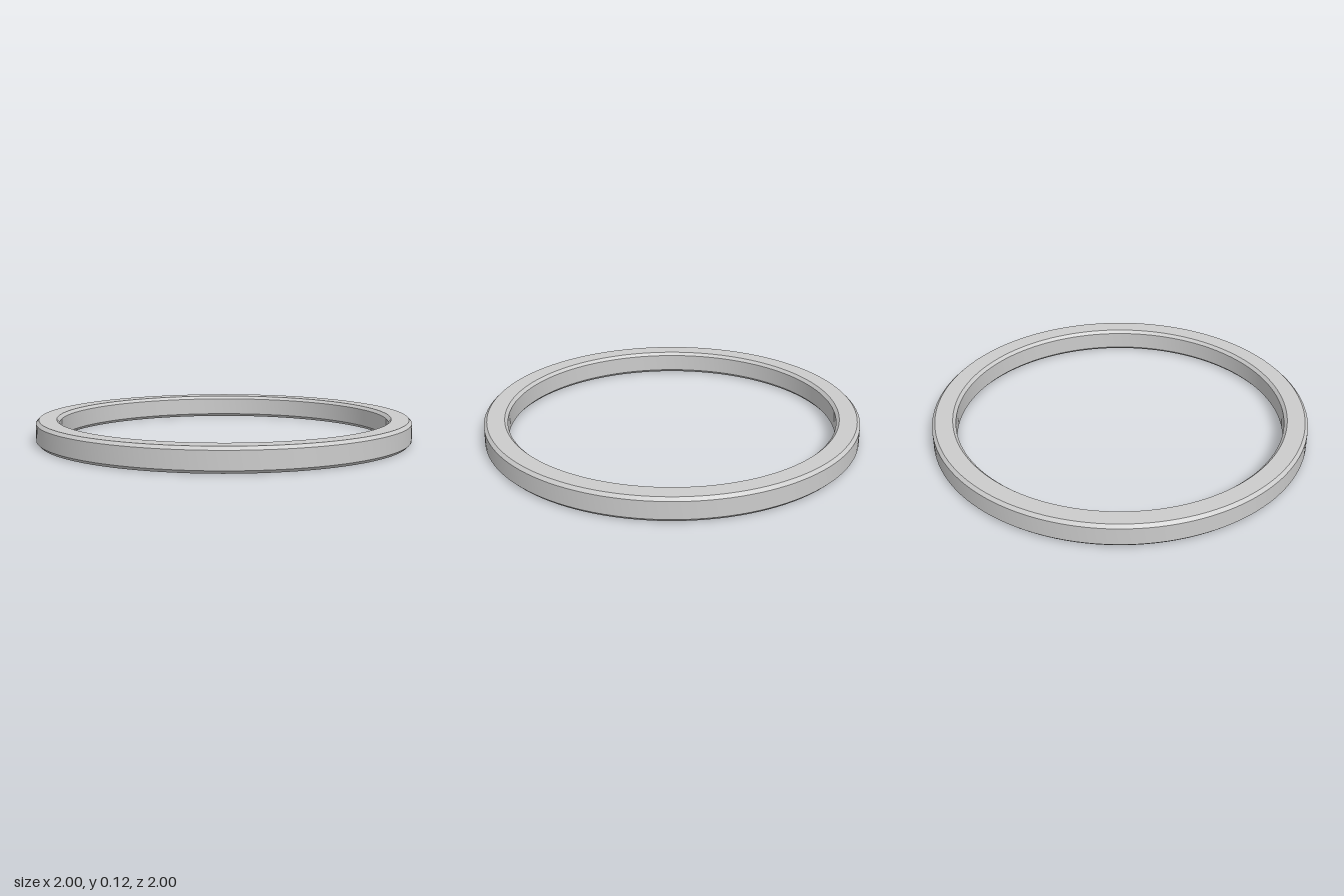
import * as THREE from 'three';
import { toCreasedNormals } from 'three/addons/utils/BufferGeometryUtils.js';

const OUTER = 1, INNER = 0.875, HEIGHT = 0.125, BEVEL = 0.016;

export function createModel() {
  const group = new THREE.Group();
  group.name = 'bevelledRing';

  // Rectangular cross-section with chamfered corners, counter-clockwise from the outer wall
  const profile = [
    [OUTER, BEVEL],
    [OUTER, HEIGHT - BEVEL],
    [OUTER - BEVEL, HEIGHT],
    [INNER + BEVEL, HEIGHT],
    [INNER, HEIGHT - BEVEL],
    [INNER, BEVEL],
    [INNER + BEVEL, 0],
    [OUTER - BEVEL, 0],
    [OUTER, BEVEL],
  ].map(([r, y]) => new THREE.Vector2(r, y));

  // Smooth around the ring, sharp along the chamfer edges
  const geometry = toCreasedNormals(new THREE.LatheGeometry(profile, 128), Math.PI / 6);
  const ring = new THREE.Mesh(geometry, new THREE.MeshStandardMaterial({ color: 0xcccccc }));
  ring.name = 'ring';
  group.add(ring);

  return group;
}
